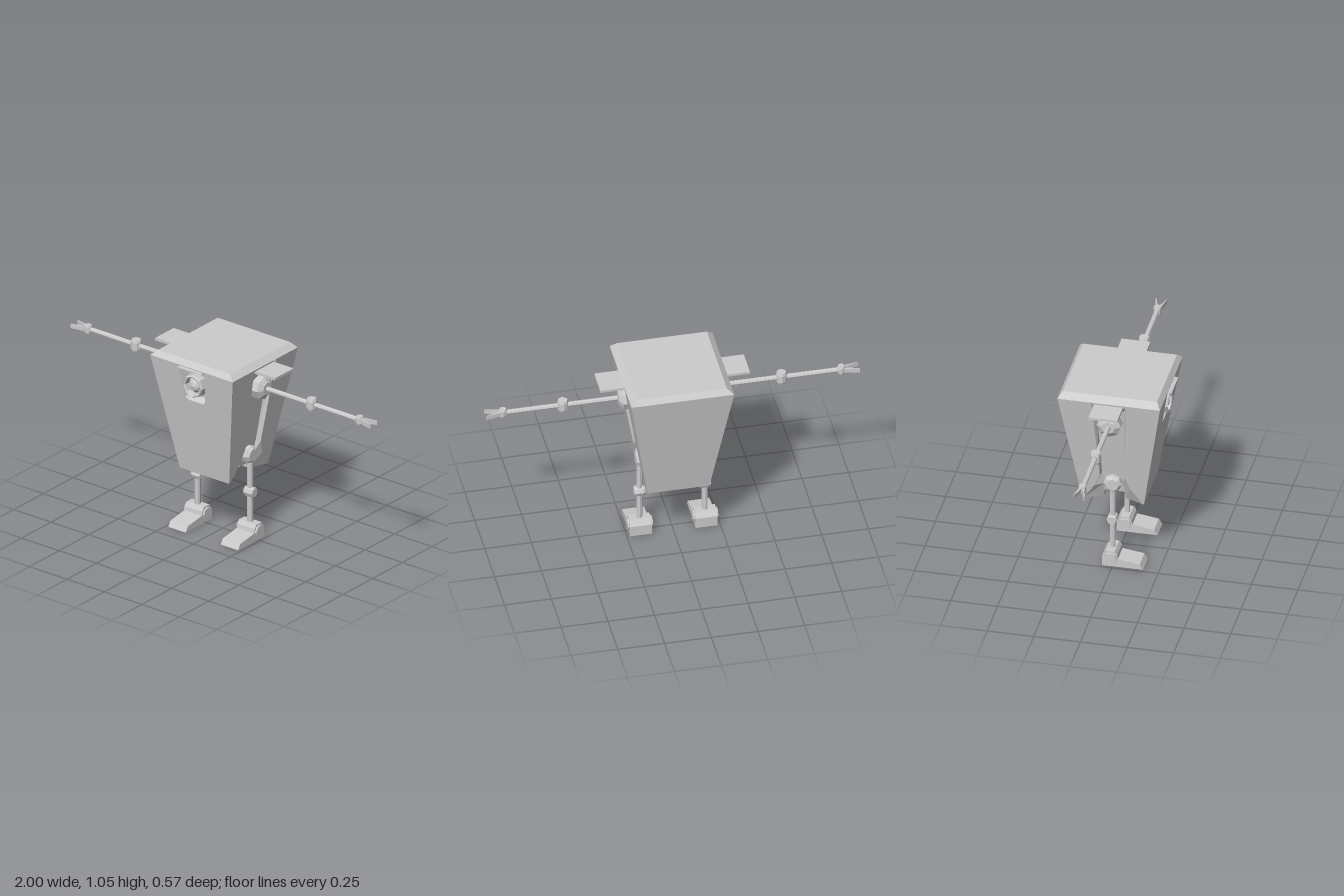
import * as THREE from 'three';

const mat = new THREE.MeshStandardMaterial({ color: 0xcccccc, flatShading: true, side: THREE.DoubleSide });

function add(parent, name, geo, x = 0, y = 0, z = 0) {
  const mesh = new THREE.Mesh(geo, mat);
  mesh.name = name;
  mesh.position.set(x, y, z);
  parent.add(mesh);
  return mesh;
}

// Joins successive loops of [x, y, z] points; skips the last segment when open, caps either end
function skin(loops, { open = false, start = false, end = false } = {}) {
  const pos = [];
  const tri = (a, b, c) => pos.push(...a, ...b, ...c);
  const n = loops[0].length;
  for (let l = 0; l < loops.length - 1; l++) {
    for (let i = 0; i < (open ? n - 1 : n); i++) {
      const j = (i + 1) % n, lo = loops[l], hi = loops[l + 1];
      tri(lo[i], lo[j], hi[j]);
      tri(lo[i], hi[j], hi[i]);
    }
  }
  const last = loops[loops.length - 1];
  for (let i = 1; i < n - 1; i++) {
    if (start) tri(loops[0][0], loops[0][i + 1], loops[0][i]);
    if (end) tri(last[0], last[i], last[i + 1]);
  }
  const geo = new THREE.BufferGeometry();
  geo.setAttribute('position', new THREE.Float32BufferAttribute(pos, 3));
  geo.computeVertexNormals();
  return geo;
}

const rect = (w, d, y) => [[w, y, d], [w, y, -d], [-w, y, -d], [-w, y, d]];

// Taper of the hull: half width at a height
const half = y => 0.165 + (y - 0.36) / 6;
const DEPTH = 0.03; // depth of the side channels

// Front or back half of the hull, with the channel edges widening around the hip
function hullBlock(open) {
  const levels = [[0.36, 0.16, 0.055], [0.455, 0.095, 0.05], [0.53, 0.065, 0.06], [1.02, 0.093, 0.075]];
  return skin(levels.map(([y, zc, zi]) => {
    const w = half(y), f = w - DEPTH - (y < 0.4 ? 0.015 : 0);
    return [[w, y, w], [w, y, zc], [f, y, zi], [-f, y, zi], [-w, y, zc], [-w, y, w]];
  }), { open, start: true });
}

// Faceted drum with chamfered ends, along y, or along x when sideways
function joint(r, h, sideways, chamfer = 0.7) {
  const pts = [[0, -h], [r * chamfer, -h], [r, -h * 0.6], [r, h * 0.6], [r * chamfer, h], [0, h]];
  const geo = new THREE.LatheGeometry(pts.map(p => new THREE.Vector2(...p)), 8);
  return sideways ? geo.rotateZ(Math.PI / 2) : geo;
}

function addHull(g) {
  add(g, 'hullFront', hullBlock(true));
  add(g, 'hullBack', hullBlock(false)).rotation.y = Math.PI;

  // Core forming the channel floors, flaring out under the lid
  const core = [[0.41, 0.052, 0], [0.53, 0.06, 0], [0.965, 0.075, 0], [1.0, 0.08, 0.025], [1.02, 0.09, 0.025]];
  add(g, 'hullCore', skin(core.map(([y, d, out]) => rect(half(y) - DEPTH + out, d, y)), { start: true }));
  add(g, 'lid', skin([rect(0.275, 0.275, 1.02), rect(0.24, 0.252, 1.05)], { start: true, end: true }));

  // Sloping front plate with the eye window cut out
  const rim = [[0.09, 1.015], [0.066, 0.83], [0.052, 0.815], [-0.052, 0.815], [-0.066, 0.83], [-0.09, 1.015]];
  const inner = [[0.074, 1.0], [0.056, 0.842], [0.046, 0.832], [-0.046, 0.832], [-0.056, 0.842], [-0.074, 1.0]];
  const vec = p => new THREE.Vector2(...p);
  const plate = new THREE.Shape([[-0.165, 0.36], [0.165, 0.36], [0.275, 1.02], [-0.275, 1.02]].map(vec));
  plate.holes.push(new THREE.Path(rim.map(vec)));
  const plateGeo = new THREE.ShapeGeometry(plate);
  const p = plateGeo.attributes.position;
  for (let i = 0; i < p.count; i++) p.setZ(i, half(p.getY(i)));
  plateGeo.computeVertexNormals();
  add(g, 'frontPlate', plateGeo);
  const place = (loop, depth) => loop.map(([x, y]) => [x, y, half(y) - depth]).reverse();
  add(g, 'eyeRecess', skin([place(rim, 0), place(inner, 0.045)], { end: true }));

  // Eye: ring housing with a faceted ball, under a thin brow
  const ring = [[0.065, 0], [0.065, 0.065], [0.059, 0.074], [0.05, 0.07], [0.045, 0.03]];
  add(g, 'eyeRing', new THREE.LatheGeometry(ring.map(vec), 8).rotateX(Math.PI / 2), 0, 0.912, 0.196);
  add(g, 'eyeBall', new THREE.SphereGeometry(0.05, 8, 6).rotateX(Math.PI / 2), 0, 0.912, 0.217);
  add(g, 'brow', skin([
    [[0.08, 1.006, 0.255], [0.08, 1.016, 0.255], [-0.08, 1.016, 0.255], [-0.08, 1.006, 0.255]],
    [[0.08, 1.011, 0.295], [0.08, 1.014, 0.295], [-0.08, 1.014, 0.295], [-0.08, 1.011, 0.295]],
  ], { start: true, end: true }));
}

function addArm(g, s) {
  const arm = new THREE.Group();
  arm.name = s > 0 ? 'leftArm' : 'rightArm';
  arm.position.y = 0.885;
  g.add(arm);
  add(arm, 'shoulder', joint(0.065, 0.05, true, 0.55), s * 0.24);
  add(arm, 'armRod', new THREE.CylinderGeometry(0.014, 0.014, 0.64, 8).rotateZ(Math.PI / 2), s * 0.59);
  add(arm, 'elbow', joint(0.03, 0.033, false, 0.85), s * 0.585);
  add(arm, 'wrist', joint(0.022, 0.024, false, 0.85), s * 0.905);
  // Two flared fingers, tapering to the tips
  for (const f of [-1, 1]) {
    const section = (x, z, t) =>
      [[s * x, -0.012, z - t], [s * x, -0.012, z + t], [s * x, 0.012, z + t], [s * x, 0.012, z - t]];
    add(arm, 'finger', skin([section(0.91, f * 0.006, 0.008), section(1, f * 0.029, 0.002)], { start: true, end: true }));
  }
}

function addLeg(g, s) {
  const leg = new THREE.Group();
  leg.name = s > 0 ? 'leftLeg' : 'rightLeg';
  leg.position.x = s * 0.175;
  g.add(leg);
  add(leg, 'hip', joint(0.05, 0.042, true, 0.7), s * -0.02, 0.475);
  add(leg, 'legRod', new THREE.CylinderGeometry(0.016, 0.016, 0.42, 8), 0, 0.26);
  add(leg, 'knee', joint(0.03, 0.03, true, 0.8), 0, 0.26);
  add(leg, 'ankle', joint(0.038, 0.067, true, 0.85), 0, 0.05);
  // Foot side profile as [z, y]
  const profile = [[-0.045, 0], [0.175, 0], [0.157, 0.03], [0.04, 0.047], [0.036, 0.07], [0.022, 0.09], [-0.025, 0.09], [-0.045, 0.06]];
  const side = x => profile.map(([z, y]) => [x, y, z]);
  add(leg, 'foot', skin([side(0.058), side(-0.058)], { start: true, end: true }));
}

export function createModel() {
  const model = new THREE.Group();
  model.name = 'boxRobot';
  const g = new THREE.Group();
  g.name = 'robot';
  g.position.z = -0.01;
  model.add(g);

  addHull(g);
  for (const s of [1, -1]) {
    addArm(g, s);
    addLeg(g, s);
    add(g, 'sideFlap', new THREE.BoxGeometry(0.16, 0.014, 0.155), s * 0.32, 1.0, -0.003);
  }
  return model;
}
